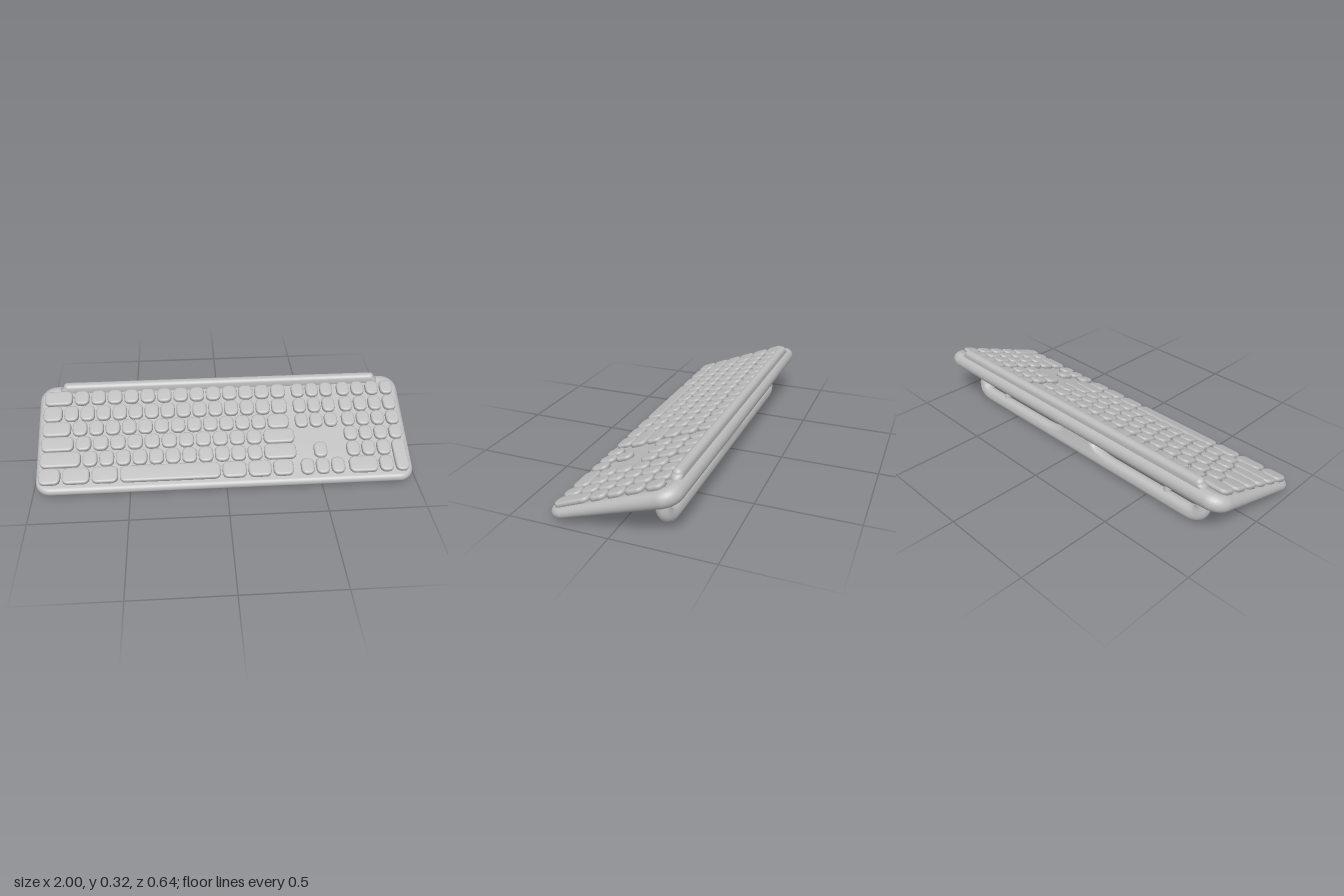
import * as THREE from 'three';
import { toCreasedNormals } from 'three/addons/utils/BufferGeometryUtils.js';

const grey = new THREE.MeshStandardMaterial({ color: 0xbcbcbc });
grey.name = 'grey plastic';

const TILT = 0.347;
// Half thickness of the wedge-shaped body at depth w
const bodyHalf = (w) => 0.034 - 0.03 * w;

function mesh(geometry, name) {
  const m = new THREE.Mesh(geometry, grey);
  m.name = name;
  return m;
}

// Rounded rectangle swept upward; each ring is [outward offset, height, extra length]
function slab(hx, hz, r, rings, seg = 6, scale = () => 1) {
  const loop = [];
  [[1, 1], [-1, 1], [-1, -1], [1, -1]].forEach(([sx, sz], q) => {
    for (let i = 0; i <= seg; i++) {
      const a = (q + i / seg) * Math.PI / 2;
      const nx = Math.cos(a), nz = Math.sin(a);
      loop.push({ x: sx * (hx - r) + r * nx, z: sz * (hz - r) + r * nz, nx, nz, sx });
    }
  });
  const n = loop.length, pos = [], index = [];
  for (const [out, v, extra = 0] of rings) {
    for (const p of loop) {
      const s = scale(p.z);
      pos.push(p.x + p.nx * out * s + p.sx * extra, v * s, p.z + p.nz * out * s);
    }
  }
  const last = rings.length - 1;
  for (let j = 0; j < last; j++) {
    for (let i = 0; i < n; i++) {
      const a = j * n + i, b = j * n + (i + 1) % n;
      index.push(a, a + n, b, b, a + n, b + n);
    }
  }
  // Flat caps
  const c = pos.length / 3;
  pos.push(0, rings[0][1] * scale(0), 0, 0, rings[last][1] * scale(0), 0);
  for (let i = 0; i < n; i++) {
    const k = (i + 1) % n;
    index.push(c, i, k, c + 1, last * n + k, last * n + i);
  }
  const g = new THREE.BufferGeometry();
  g.setAttribute('position', new THREE.Float32BufferAttribute(pos, 3));
  g.setIndex(index);
  g.computeVertexNormals();
  return g;
}

// Rings of a rounded edge between two angles
function roundRings(radius, y, from, to, steps) {
  return Array.from({ length: steps + 1 }, (_, i) => {
    const a = from + (to - from) * i / steps;
    return [radius * Math.cos(a), y + radius * Math.sin(a)];
  });
}

// Depth range of each key row, back to front
const rows = [[-0.238, -0.155], [-0.147, -0.058], [-0.053, 0.03],
  [0.035, 0.116], [0.121, 0.206], [0.211, 0.298]].map((r) => r.map((z) => (z - 0.027) / 0.94));

// Runs of equal keys in each row: [start, end, count]
const nav = [0.385, 0.625, 3], pad = [0.64, 0.965, 4];
const runs = [
  [[-0.97, -0.81, 1], [-0.81, 0.36, 13], nav, pad],
  [[-0.97, -0.86, 1], [-0.86, 0.265, 13], [0.265, 0.36, 1], nav, pad],
  [[-0.97, -0.81, 1], [-0.81, 0.235, 12], [0.235, 0.36, 1], nav, pad],
  [[-0.97, -0.79, 1], [-0.79, 0.205, 11], [0.205, 0.38, 1], pad],
  [[-0.97, -0.75, 1], [-0.75, 0.2, 11], [0.2, 0.38, 1], [0.465, 0.545, 1], [0.64, 0.884, 3]],
  [[-0.97, -0.85, 1], [-0.85, -0.7, 1], [-0.7, -0.555, 1], [-0.555, -0.025, 1],
    [-0.025, 0.11, 1], [0.11, 0.24, 1], [0.24, 0.355, 1], nav, [0.64, 0.8, 1], [0.8, 0.884, 1]],
];

function key(x0, x1, w0, w1, name) {
  const hx = (x1 - x0) / 2 - 0.005, hz = (w1 - w0) / 2;
  const rings = [[0, -0.006], [0, 0.012], [-0.002, 0.017], [-0.006, 0.02], [-0.012, 0.0212]];
  const m = mesh(slab(hx, hz, Math.min(0.03, hx * 0.85, hz * 0.85), rings, 5), name);
  const w = (w0 + w1) / 2;
  m.position.set((x0 + x1) / 2, bodyHalf(w), w);
  m.rotation.x = 0.03;
  return m;
}

function buildKeys() {
  const keys = new THREE.Group();
  keys.name = 'keys';
  runs.forEach((list, r) => {
    for (const [start, end, count] of list) {
      const step = (end - start) / count;
      for (let i = 0; i < count; i++) {
        const x = start + i * step;
        keys.add(key(x, x + step, rows[r][0], rows[r][1], step > 0.4 ? 'spaceBar' : 'key'));
      }
    }
  });
  keys.add(key(0.884, 0.965, rows[4][0], rows[5][1], 'tallKey'));
  return keys;
}

// U-shaped rear stand with a solid centre and two slim posts
function buildStand() {
  const stand = new THREE.Group();
  stand.name = 'stand';
  const s = new THREE.Shape();
  s.moveTo(-0.828, 0.165);
  s.lineTo(-0.828, 0.1);
  s.quadraticCurveTo(-0.828, 0.032, -0.74, 0.032);
  s.lineTo(0.74, 0.032);
  s.quadraticCurveTo(0.828, 0.032, 0.828, 0.1);
  s.lineTo(0.828, 0.165);
  s.lineTo(0.822, 0.165);
  s.lineTo(0.822, 0.11);
  s.quadraticCurveTo(0.822, 0.042, 0.74, 0.042);
  s.lineTo(0.25, 0.042);
  s.quadraticCurveTo(0.11, 0.045, 0.085, 0.1);
  s.lineTo(0.085, 0.165);
  s.lineTo(-0.085, 0.165);
  s.lineTo(-0.085, 0.1);
  s.quadraticCurveTo(-0.11, 0.045, -0.25, 0.042);
  s.lineTo(-0.74, 0.042);
  s.quadraticCurveTo(-0.822, 0.042, -0.822, 0.11);
  s.lineTo(-0.822, 0.165);
  s.closePath();
  const g = new THREE.ExtrudeGeometry(s, {
    depth: 0.004, bevelThickness: 0.031, bevelSize: 0.032, bevelSegments: 6, curveSegments: 8,
  });
  g.translate(0, 0, -0.002);
  stand.add(mesh(toCreasedNormals(g, 0.8), 'standFrame'));
  for (const side of [-1, 1]) {
    const post = mesh(new THREE.CylinderGeometry(0.014, 0.02, 0.14, 12), 'standPost');
    post.position.set(side * 0.61, 0.12, 0);
    stand.add(post);
  }
  stand.position.set(0, 0.001, -0.203);
  stand.rotation.x = 0.23;
  return stand;
}

export function createModel() {
  const model = new THREE.Group();
  model.name = 'keyboard';

  // Tilted body with its keys
  const deck = new THREE.Group();
  deck.name = 'deck';
  const edge = roundRings(1, 0, -Math.PI / 2, Math.PI / 2, 14);
  deck.add(mesh(slab(0.957, 0.303, 0.05, edge, 8, bodyHalf), 'body'));
  deck.add(buildKeys());
  deck.position.set(0, 0.136, 0.01);
  deck.rotation.x = TILT;
  model.add(deck);

  // Raised rounded bar along the back edge
  const bar = mesh(slab(0.845, 0.002, 0.001, [[0.025, 0.25, 0.02], [0.025, 0.284, 0.015],
    ...roundRings(0.024, 0.294, 0, Math.PI / 2, 7)], 6), 'rearBar');
  bar.position.z = -0.263;
  model.add(bar);

  model.add(buildStand());
  return model;
}
